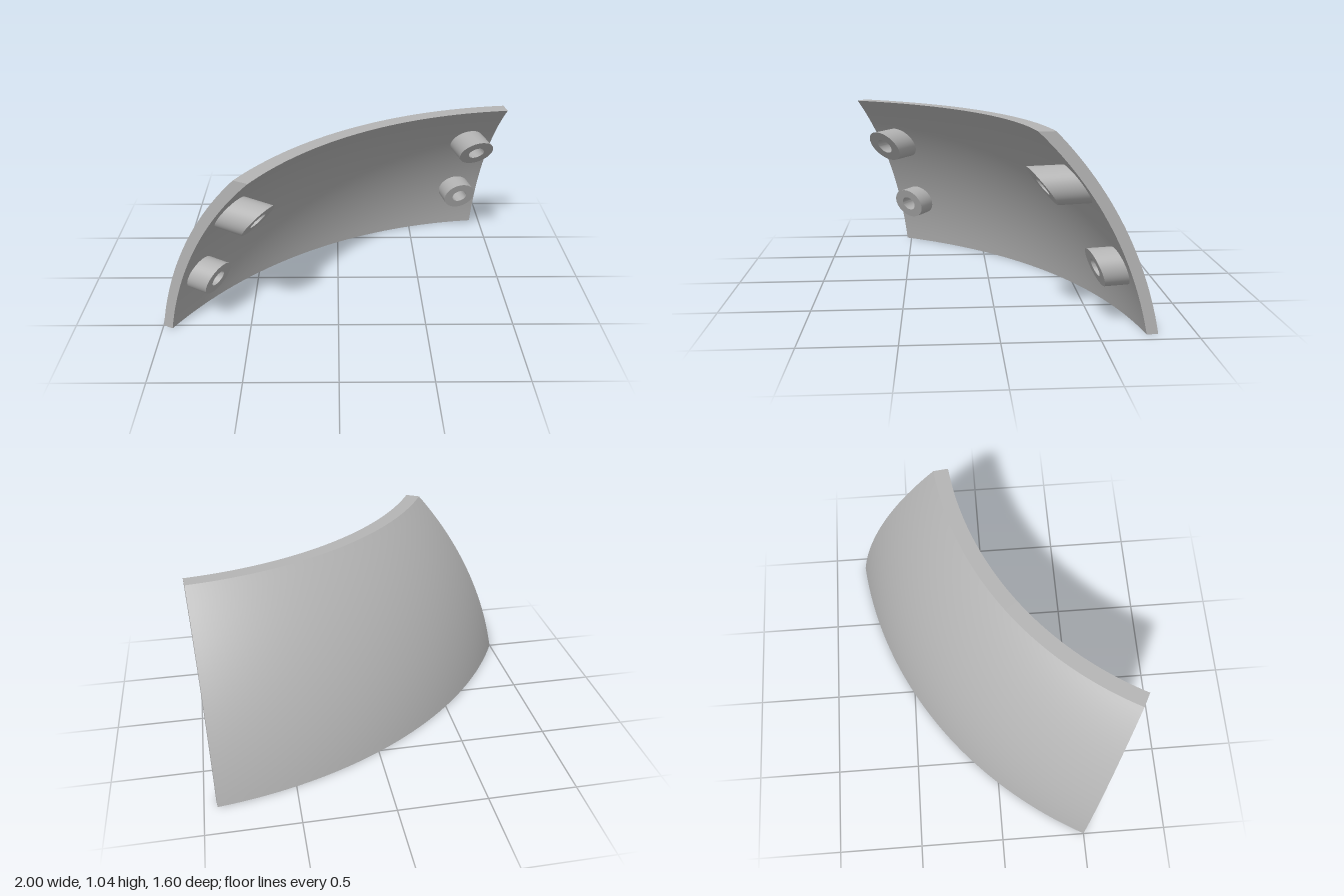
import * as THREE from 'three';
import { toCreasedNormals } from 'three/addons/utils/BufferGeometryUtils.js';

const DEG = Math.PI / 180;
const HEIGHT = 1.045;
const START = 6.35 * DEG, END = 61.8 * DEG; // sweep about the vertical axis
const ARC_R = 0.526, ARC_Y = -0.372;        // centre of the cross-section arcs

// Arc of the cross-section with the given radius, from the base upwards
function arcPoints(radius, steps = 28) {
  const low = Math.asin(-ARC_Y / radius), top = Math.asin((HEIGHT - ARC_Y) / radius);
  const pts = [];
  for (let i = 0; i <= steps; i++) {
    const a = low + ((top - low) * i) / steps;
    pts.push(new THREE.Vector2(ARC_R + radius * Math.cos(a), ARC_Y + radius * Math.sin(a)));
  }
  return pts;
}

// Hollow boss: a horizontal tube, both ends sheared to follow the shell that closes its back
function bossGeometry(front, back, slope) {
  const R = 0.1, hole = 0.046;
  const profile = [[hole, back], [hole, front], [R, front], [R, back]]
    .map(([x, y]) => new THREE.Vector2(x, y));
  const geo = new THREE.LatheGeometry(profile, 40);
  geo.rotateX(-Math.PI / 2);
  const p = geo.attributes.position;
  for (let i = 0; i < p.count; i++) p.setZ(i, p.getZ(i) + slope * p.getY(i));
  return toCreasedNormals(geo, 35 * DEG);
}

export function createModel() {
  const model = new THREE.Group();
  model.name = 'curvedPanel';
  const grey = new THREE.MeshStandardMaterial({ color: 0xb4b4b4 });
  grey.name = 'grey';

  // Everything is placed around the axis of revolution
  const axis = new THREE.Group();
  axis.name = 'panelAssembly';
  axis.position.set(1.206, 0, 1.682);
  model.add(axis);

  const add = (name, geo, angle = 0, y = 0) => {
    const mesh = new THREE.Mesh(geo, grey);
    mesh.name = name;
    mesh.rotation.y = angle;
    mesh.position.y = y;
    axis.add(mesh);
  };

  // Shell: closed cross-section of even thickness swept round the axis
  const section = [...arcPoints(2.01), ...arcPoints(1.95).reverse()];
  const shell = new THREE.LatheGeometry([...section, section[0].clone()], 56, Math.PI + START, END - START);
  add('shell', toCreasedNormals(shell, 30 * DEG));

  // Flat ends of the shell
  const endShape = new THREE.Shape(section);
  add('leftEnd', new THREE.ShapeGeometry(endShape), START + Math.PI / 2);
  const flipped = new THREE.ShapeGeometry(endShape);
  flipped.index.array.reverse();
  flipped.computeVertexNormals();
  add('rightEnd', flipped, END + Math.PI / 2);

  // Mounting bosses: an upper and a lower one near each end
  const upper = bossGeometry(1.928, 2.147, 0.8);
  const lower = bossGeometry(2.212, 2.38, 0.42);
  for (const [side, a, b] of [['left', 10.8, 10.3], ['right', 57.2, 57.8]]) {
    add(side + 'UpperBoss', upper, a * DEG, 0.755);
    add(side + 'LowerBoss', lower, b * DEG, 0.32);
  }
  return model;
}
